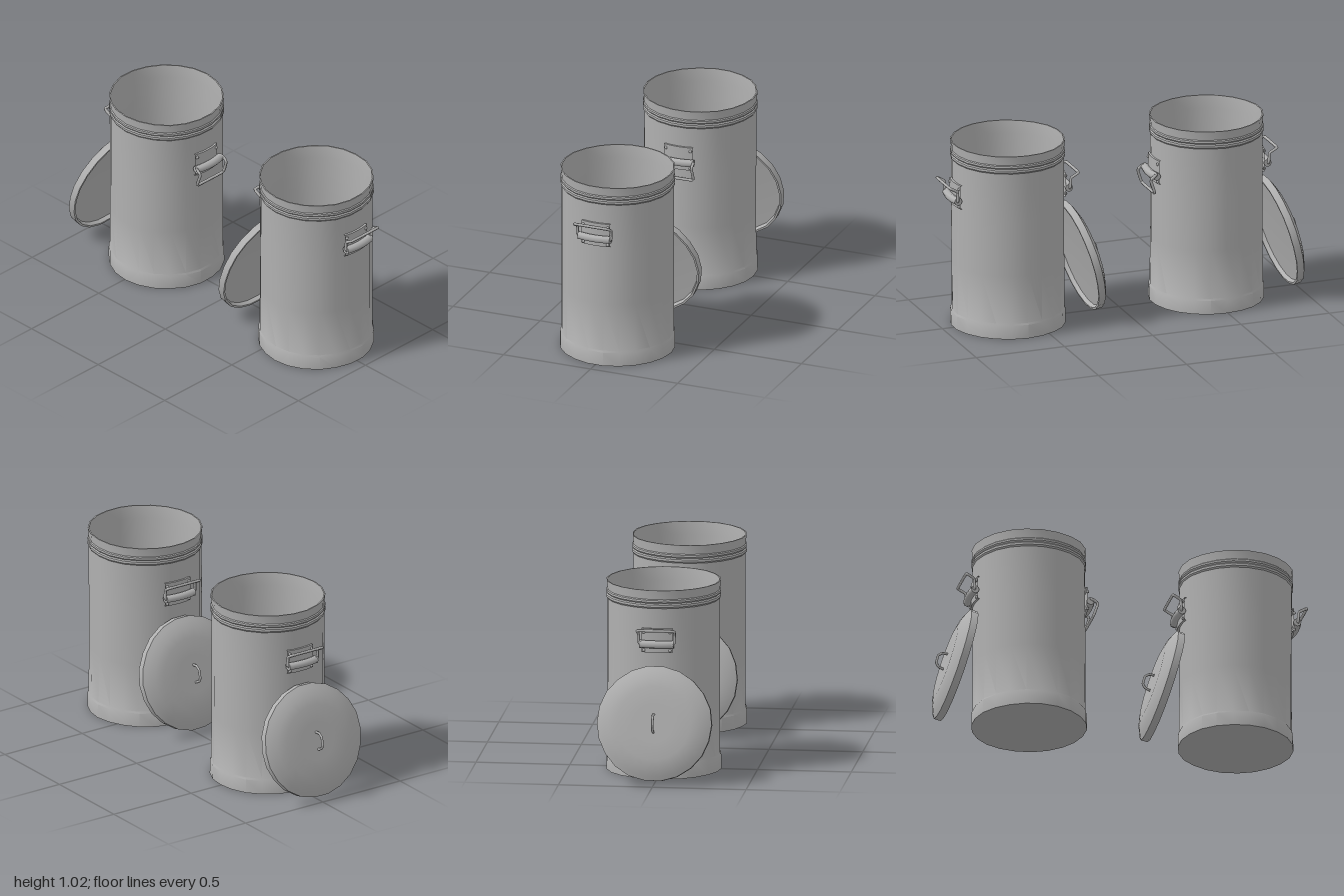
import * as THREE from 'three';
import { toCreasedNormals } from 'three/addons/utils/BufferGeometryUtils.js';

const metal = new THREE.MeshStandardMaterial({ color: 0xb0b0b0, side: THREE.DoubleSide });
metal.name = 'galvanised metal';

const v2 = (list) => list.map(([x, y]) => new THREE.Vector2(x, y));

function part(parent, name, geometry) {
  const mesh = new THREE.Mesh(geometry, metal);
  mesh.name = name;
  parent.add(mesh);
  return mesh;
}

// Turned sheet metal, gently dented by a rule of angle and height
function turned(profile, dent, seed, sides = 22) {
  const g = new THREE.LatheGeometry(v2(profile), sides);
  const p = g.attributes.position;
  for (let i = 0; i < p.count; i++) {
    const x = p.getX(i), y = p.getY(i), z = p.getZ(i);
    const a = Math.atan2(z, x);
    const k = 1 + dent * (Math.sin(5 * a + seed + 4 * y) + 0.7 * Math.sin(8 * a - 2 * seed + 3 * y));
    p.setXYZ(i, x * k, y, z * k);
  }
  return toCreasedNormals(g, 0.6);
}

function wire(points, radius) {
  const curve = new THREE.CatmullRomCurve3(points, false, 'catmullrom', 0.12);
  return new THREE.TubeGeometry(curve, 36, radius, 6);
}

// Side bracket, hinge roll and swinging wire, built on the +x side
function sideHandle(swing) {
  const g = new THREE.Group();
  g.name = 'sideHandle';
  const half = 0.27;
  const plate = v2([[0.298, 0.685], [0.309, 0.685], [0.309, 0.815], [0.298, 0.815]]);
  part(g, 'bracketPlate', toCreasedNormals(
    new THREE.LatheGeometry(plate, 6, Math.PI / 2 - half, half * 2), 0.6));

  const arc = [];
  for (let i = 0; i <= 6; i++) {
    const a = -half + (i / 6) * half * 2;
    arc.push(new THREE.Vector3(0.325 * Math.cos(a), 0.733, 0.325 * Math.sin(a)));
  }
  part(g, 'hingeRoll', new THREE.TubeGeometry(new THREE.CatmullRomCurve3(arc), 10, 0.021, 8));

  for (const s of [-1, 1]) {
    const ear = part(g, 'hingeEar', new THREE.CylinderGeometry(0.022, 0.022, 0.008, 8));
    ear.rotation.x = Math.PI / 2;
    ear.position.set(0.314, 0.733, s * 0.087);
    for (const y of [0.697, 0.795]) {
      const rivet = part(g, 'rivet', new THREE.SphereGeometry(0.009, 6, 4));
      rivet.position.set(0.302, y, s * 0.07);
    }
  }

  const side = (s) => swing.map(([x, y]) => new THREE.Vector3(x, y, s * 0.096));
  part(g, 'swingWire', wire([
    new THREE.Vector3(swing[0][0], swing[0][1], -0.08), ...side(-1),
    ...side(1).reverse(), new THREE.Vector3(swing[0][0], swing[0][1], 0.08)], 0.008));
  return g;
}

const raised = [[0.318, 0.735], [0.322, 0.79], [0.364, 0.815]];
const lowered = [[0.318, 0.745], [0.352, 0.72], [0.328, 0.645]];

function makeCan(rightSwing, seed) {
  const can = new THREE.Group();
  can.name = 'trashCan';
  // Base band, wall, double bead, rim band and hollow inside
  part(can, 'canBody', turned([
    [0, 0], [0.307, 0], [0.306, 0.075], [0.3, 0.085], [0.299, 0.35], [0.299, 0.65],
    [0.299, 0.922], [0.305, 0.93], [0.305, 0.942], [0.299, 0.948], [0.305, 0.956],
    [0.304, 0.966], [0.299, 0.971], [0.304, 1.02], [0.297, 1.02], [0.291, 0.95],
    [0.291, 0.5], [0.291, 0.02], [0, 0.02]], 0.0035, seed));
  can.add(sideHandle(rightSwing));
  const other = sideHandle(raised);
  other.rotation.y = Math.PI;
  can.add(other);
  return can;
}

// Lid with its open side on local y = 0 and the dome towards +y
function makeLid(seed) {
  const lid = new THREE.Group();
  lid.name = 'lid';
  part(lid, 'lidShell', turned([
    [0, 0.026], [0.15, 0.028], [0.287, 0.022], [0.294, 0], [0.305, 0], [0.306, 0.038],
    [0.283, 0.05], [0.245, 0.066], [0.195, 0.077], [0.1, 0.078], [0, 0.076]], 0.003, seed));
  const pts = [[-0.048, 0.07], [-0.042, 0.105], [-0.022, 0.123],
    [0.022, 0.123], [0.042, 0.105], [0.048, 0.07]];
  part(lid, 'lidHandle', wire(pts.map(([x, y]) => new THREE.Vector3(x, y, 0)), 0.007));
  return lid;
}

export function createModel() {
  const model = new THREE.Group();
  model.name = 'trashCans';
  [[-0.495, lowered, 0.4], [0.63, raised, 2.1]].forEach(([x, swing, seed]) => {
    const can = makeCan(swing, seed);
    can.position.x = x;
    // Lid leaning against the can's right side
    const lid = makeLid(seed + 1);
    lid.position.set(x - 0.38, 0.316, 0);
    lid.rotation.z = 1.323;
    model.add(can, lid);
  });
  return model;
}
